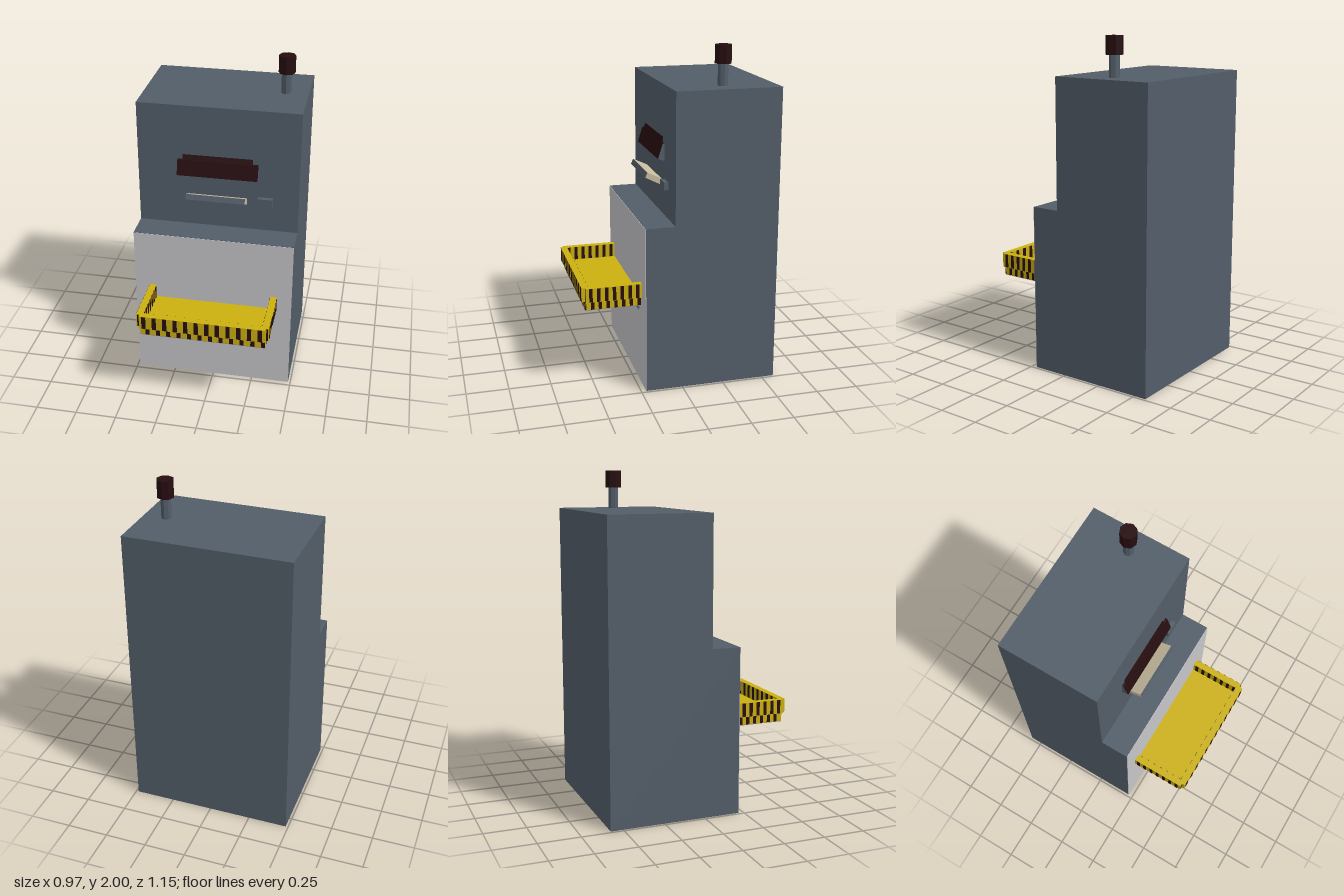
import * as THREE from 'three';

const mat = (name, color) => Object.assign(new THREE.MeshStandardMaterial({ color, flatShading: true }), { name });

export function createModel() {
  const casing = mat('casing slate', 0x535e69);
  const panel = mat('panel light grey', 0xc6c5c8);
  const yellow = mat('warning yellow', 0xcbb00f);
  const dark = mat('dark maroon', 0x260d0f);
  const beige = mat('slot beige', 0xc8bc9f);
  const steel = mat('bracket grey', 0x8a8a8a);
  const model = new THREE.Group();
  model.name = 'machine';

  const add = (parent, name, geometry, material) => {
    const mesh = new THREE.Mesh(geometry, material);
    mesh.name = name;
    parent.add(mesh);
    return mesh;
  };
  // Box given by its minimum and maximum corners
  const box = (parent, name, material, [x0, y0, z0], [x1, y1, z1]) => {
    const mesh = add(parent, name, new THREE.BoxGeometry(x1 - x0, y1 - y0, z1 - z0), material);
    mesh.position.set((x0 + x1) / 2, (y0 + y1) / 2, (z0 + z1) / 2);
    return mesh;
  };
  // Side profile of [z, y] points, extruded from x0 to x1
  const prism = (parent, name, material, points, x0, x1) => {
    const shape = new THREE.Shape(points.map(([z, y]) => new THREE.Vector2(z, y)));
    const geometry = new THREE.ExtrudeGeometry(shape, { depth: x1 - x0, bevelEnabled: false });
    geometry.rotateY(-Math.PI / 2).translate(x1, 0, 0);
    return add(parent, name, geometry, material);
  };

  // Stepped cabinet and its pale front
  prism(model, 'cabinet', casing,
    [[-0.575, 0], [0.218, 0], [0.218, 1], [0.045, 1], [0.045, 1.77], [-0.575, 1.77]], -0.485, 0.485);
  box(model, 'frontPanel', panel, [-0.485, 0.002, 0.218], [0.485, 0.998, 0.221]);

  // Hooded display with a dark sloping face
  const display = new THREE.Group();
  display.name = 'display';
  model.add(display);
  prism(display, 'displayHousing', casing, [[0.045, 1.325], [0.083, 1.34], [0.0545, 1.43], [0.045, 1.43]], -0.243, 0.241);
  prism(display, 'displayFace', dark, [[0.083, 1.34], [0.086, 1.341], [0.0575, 1.431], [0.045, 1.431], [0.045, 1.43], [0.0545, 1.43]], -0.243, 0.241);
  prism(display, 'displayTop', dark, [[0.045, 1.43], [0.0575, 1.43], [0.045, 1.462]], -0.213, 0.207);

  // Tilted slot tongue with a slate end
  prism(model, 'slotTongue', beige, [[0.045, 1.165], [0.132, 1.215], [0.143, 1.215], [0.13, 1.245], [0.045, 1.205]].filter((_, i) => i !== 1), -0.179, 0.176);
  prism(model, 'slotEnd', casing, [[0.143, 1.215], [0.146, 1.216], [0.133, 1.246], [0.13, 1.245]], -0.179, 0.176);
  box(model, 'button', casing, [0.243, 1.175, 0.045], [0.33, 1.22, 0.072]);

  // Warning-striped tray: floor, front wall and two side walls
  const tray = new THREE.Group();
  tray.name = 'tray';
  model.add(tray);
  box(tray, 'trayFloor', yellow, [-0.375, 0.503, 0.22], [0.375, 0.555, 0.552]);
  box(tray, 'trayUnderside', steel, [-0.375, 0.5, 0.22], [0.375, 0.503, 0.552]);
  box(tray, 'trayFrontWall', yellow, [-0.375, 0.555, 0.532], [0.375, 0.64, 0.572]);
  for (const s of [-1, 1]) {
    const xs = [s * 0.355, s * 0.395].sort((a, b) => a - b);
    box(tray, 'traySideWall', yellow, [xs[0], 0.555, 0.22], [xs[1], 0.64, 0.552]);
    // Stripes across the side wall and the floor edge
    for (let i = 0; i < 7; i++) {
      const z = 0.236 + i * 0.046;
      box(tray, 'sideStripe', dark, [xs[0] - 0.002, 0.557, z], [xs[1] + 0.002, 0.639, z + 0.02]);
      const edge = [s * 0.37, s * 0.377].sort((a, b) => a - b);
      box(tray, 'floorSideStripe', dark, [edge[0], 0.504, z - 0.012], [edge[1], 0.554, z + 0.008]);
    }
    // Short stripe on the exposed front end of each side wall
    box(tray, 'wallEndStripe', dark, [s * 0.385 - 0.005, 0.557, 0.55], [s * 0.385 + 0.005, 0.639, 0.554]);
  }
  for (let i = 0; i < 12; i++) {
    const x = -0.36 + i * 0.063;
    box(tray, 'frontStripe', dark, [x, 0.557, 0.53], [x + 0.025, 0.639, 0.574]);
    box(tray, 'floorFrontStripe', dark, [x + 0.018, 0.504, 0.545], [x + 0.042, 0.554, 0.554]);
  }

  // Slanted struts under the tray
  for (const s of [-1, 1]) {
    const strut = add(model, 'trayStrut', new THREE.CylinderGeometry(0.024, 0.024, 0.12, 10), steel);
    strut.position.set(s * 0.308, 0.488, 0.222);
    strut.rotation.x = 0.63;
  }

  // Beacon on a short pole
  const pole = add(model, 'beaconPole', new THREE.CylinderGeometry(0.031, 0.031, 0.14, 8), casing);
  pole.position.set(0.351, 1.835, -0.265);
  const lamp = add(model, 'beaconLamp', new THREE.CylinderGeometry(0.05, 0.05, 0.105, 8), dark);
  lamp.position.set(0.351, 1.9475, -0.265);

  return model;
}
